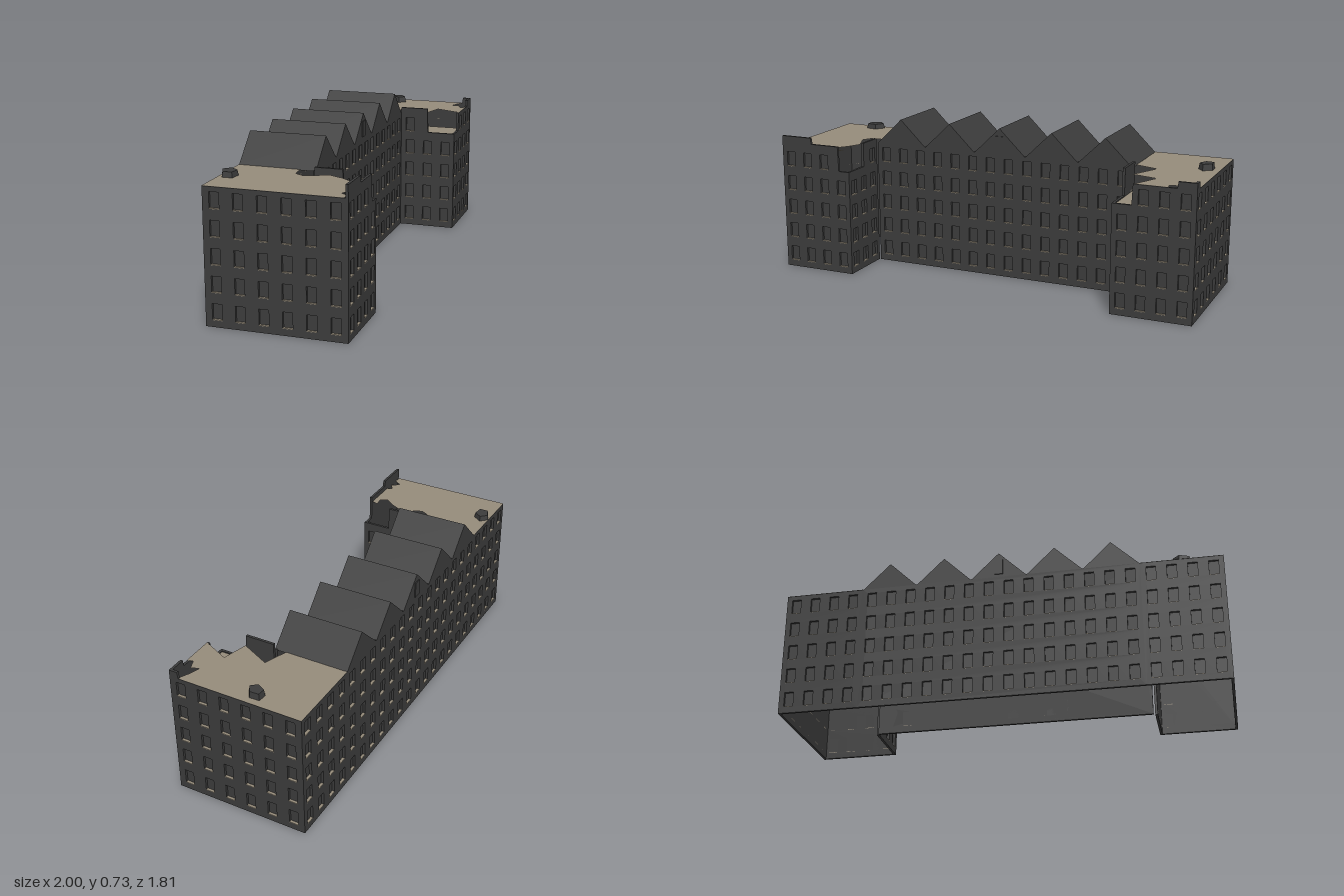
import * as THREE from 'three';
import { mergeGeometries } from 'three/addons/utils/BufferGeometryUtils.js';

const mat = (name, color) => {
  const m = new THREE.MeshStandardMaterial({ color, side: THREE.DoubleSide });
  m.name = name;
  return m;
};

export function createModel() {
  const brick = mat('charcoal wall', 0x3c3c3c);
  const tan = mat('tan concrete', 0x968c7b);
  const building = new THREE.Group();
  building.name = 'ruinedBuilding';
  building.rotation.y = 0.7; // the long axis runs diagonally

  const add = (name, geo, material, parent = building) => {
    const m = new THREE.Mesh(geo, material);
    m.name = name;
    parent.add(m);
    return m;
  };

  const T = 0.012; // depth of the window recesses
  const rect = (x, y, w, h) => [[x, y], [x + w, y], [x + w, y + h], [x, y + h]]
    .map(p => new THREE.Vector2(...p));

  // Wall from a to b (left to right seen from outside); tops = [endDistance, height] steps
  function wall(name, [ax, az], [bx, bz], cols, tops) {
    const len = Math.hypot(bx - ax, bz - az);
    const steps = tops || [[len, 0.605]];
    const pts = [new THREE.Vector2(len, 0), new THREE.Vector2(0, 0)];
    let s = 0;
    for (const [end, h] of steps) {
      pts.push(new THREE.Vector2(s, h), new THREE.Vector2(Math.min(end, len), h));
      s = end + 0.004;
    }
    const outline = new THREE.Shape(pts);
    const backing = new THREE.ShapeGeometry(outline).translate(0, 0, -T);
    const sills = [];
    const w = 0.044, h = 0.073;
    for (let c = 0; c < cols; c++) {
      const x = (c + 0.5) * len / cols - w / 2;
      const low = Math.min(...steps
        .filter(([end], i) => end > x - 0.01 && (i ? steps[i - 1][0] : 0) < x + w + 0.01)
        .map(t => t[1]));
      for (let r = 0; r < 5; r++) {
        const y = 0.03 + r * 0.12;
        if (y + h > low - 0.01) continue;
        outline.holes.push(new THREE.Path(rect(x, y, w, h)));
        sills.push(new THREE.BoxGeometry(w, 0.003, T).translate(x + w / 2, y + 0.0015, -T / 2));
      }
    }
    const g = new THREE.Group();
    g.name = name;
    g.position.set(ax, 0, az);
    g.rotation.y = Math.atan2(-(bz - az), bx - ax);
    building.add(g);
    add('wallFace', new THREE.ExtrudeGeometry(outline, { depth: T, bevelEnabled: false })
      .translate(0, 0, -T), brick, g);
    add('windowPanes', backing, brick, g);
    add('windowSills', mergeGeometries(sills), tan, g);
  }

  // Left wing, with a broken front corner
  wall('leftWingFront', [-1.037, 0.305], [-0.667, 0.305], 4, [[0.16, 0.66], [0.31, 0.63], [0.37, 0.51]]);
  wall('leftWingInner', [-0.667, 0.305], [-0.667, 0.035], 3, [[0.14, 0.51], [0.27, 0.625]]);
  wall('leftWingEnd', [-1.037, -0.32], [-1.037, 0.305], 6);
  wall('leftWingBack', [-0.66, -0.32], [-1.037, -0.32], 4);
  // Main block
  wall('mainFront', [-0.66, 0.035], [0.66, 0.035], 14);
  wall('mainBack', [0.66, -0.32], [-0.66, -0.32], 14);
  // Right wing
  wall('rightWingInner', [0.66, 0.035], [0.66, 0.32], 3, [[0.14, 0.635], [0.285, 0.51]]);
  wall('rightWingFront', [0.66, 0.32], [1.037, 0.32], 4, [[0.09, 0.51], [0.29, 0.605], [0.377, 0.635]]);
  wall('rightWingEnd', [1.037, 0.32], [1.037, -0.32], 6, [[0.04, 0.635], [0.64, 0.605]]);
  wall('rightWingBack', [1.037, -0.32], [0.66, -0.32], 4);

  // Flat roof slabs with ragged broken edges
  const slab = (name, y, pts) => add(name, new THREE.ShapeGeometry(
    new THREE.Shape(pts.map(([u, v]) => new THREE.Vector2(u, -v))))
    .rotateX(-Math.PI / 2).translate(0, y, 0), tan);
  slab('leftWingRoof', 0.606, [
    [-1.037, -0.32], [-0.66, -0.32], [-0.663, -0.035], [-0.733, -0.029], [-0.758, 0.015],
    [-0.714, 0.118], [-0.745, 0.18], [-0.782, 0.23], [-0.765, 0.265], [-0.72, 0.26],
    [-0.735, 0.305], [-0.9, 0.3], [-0.91, 0.27], [-0.945, 0.29], [-0.972, 0.254],
    [-1.0, 0.295], [-1.037, 0.285]]);
  slab('rightWingRoof', 0.606, [
    [0.66, -0.32], [1.037, -0.32], [1.037, 0.27], [1.024, 0.274], [0.987, 0.256],
    [0.936, 0.239], [0.95, 0.275], [0.905, 0.291], [0.91, 0.32], [0.76, 0.32],
    [0.819, 0.192], [0.7, 0.16], [0.768, 0.019], [0.66, -0.02]]);
  slab('rightWingSunkenFloor', 0.505, [[0.665, -0.03], [0.84, -0.03], [0.84, 0.315], [0.665, 0.315]]);

  // Five gables with ridges running across the main block
  const span = 1.32 / 5;
  for (let i = 0; i < 5; i++) {
    const u = -0.66 + i * span;
    const gable = new THREE.Shape([[u, 0.602], [u + span, 0.602], [u + span / 2, 0.73]]
      .map(p => new THREE.Vector2(...p)));
    add('roofGable', new THREE.ExtrudeGeometry(gable, { depth: 0.355, bevelEnabled: false })
      .translate(0, 0, -0.32), brick);
  }
  // Narrow attic openings in the middle gable
  for (const v of [0.037, -0.322])
    add('atticWindow', new THREE.BoxGeometry(0.04, 0.075, 0.006).translate(0, 0.655, v), brick);

  // Rubble left on the roofs
  const chunk = (u, v, w, h, d, turn) => {
    const m = add('rubbleChunk', new THREE.CylinderGeometry(0.85, 1, 1, 5).toNonIndexed(), brick);
    m.geometry.computeVertexNormals();
    m.scale.set(w, h, d);
    m.position.set(u, 0.6 + h / 2, v);
    m.rotation.y = turn;
  };
  chunk(-0.85, -0.28, 0.05, 0.03, 0.04, 0.4);
  chunk(0.975, -0.07, 0.045, 0.035, 0.035, 1.1);

  const model = new THREE.Group();
  model.name = 'model';
  model.add(building);
  return model;
}
